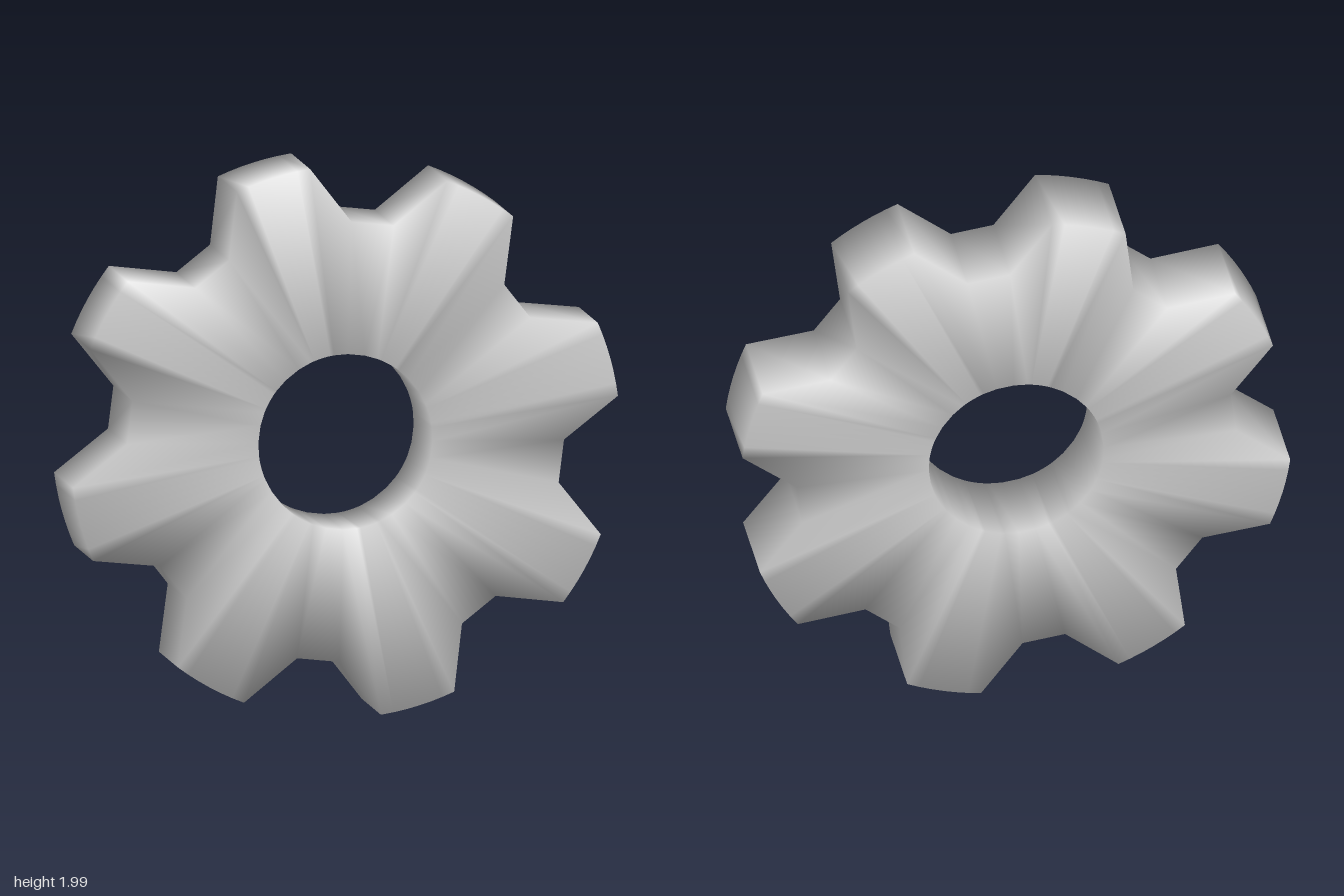
import * as THREE from 'three';

const TEETH = 8;
const HOLE_R = 0.318, ROOT_R = 0.797, TIP_R = 1.002, HALF_DEPTH = 0.161;
const PITCH = 360 / TEETH;

// Outline of the gear as [angle in degrees, radius], counter-clockwise
function gearOutline() {
  const points = [];
  for (let t = 0; t < TEETH; t++) {
    const base = t * PITCH;
    const tipSteps = 6;
    for (let i = 0; i <= tipSteps; i++) points.push([base + 7.4 + (15.9 * i) / tipSteps, TIP_R]);
    points.push([base + 32.2, ROOT_R], [base + 43.4, ROOT_R]); // flat valley between teeth
  }
  return points;
}

// Ring-shaped solid: one rectangular cross-section per outline point,
// with shared corners so the normals blend softly over the edges
function gearGeometry() {
  const outline = gearOutline();
  const positions = [], indices = [];
  outline.forEach(([deg, r], j) => {
    const a = THREE.MathUtils.degToRad(deg);
    const c = Math.cos(a), s = Math.sin(a);
    const section = [[r, HALF_DEPTH], [r, -HALF_DEPTH], [HOLE_R, -HALF_DEPTH], [HOLE_R, HALF_DEPTH]];
    section.forEach(([rad, z], k) => {
      positions.push(rad * c, rad * s, z);
      const j2 = (j + 1) % outline.length, k2 = (k + 1) % 4;
      const p = j * 4 + k, q = j * 4 + k2, u = j2 * 4 + k2, v = j2 * 4 + k;
      indices.push(p, q, u, p, u, v);
    });
  });
  const geometry = new THREE.BufferGeometry();
  geometry.setAttribute('position', new THREE.Float32BufferAttribute(positions, 3));
  geometry.setIndex(indices);
  geometry.computeVertexNormals();
  return geometry;
}

export function createModel() {
  const group = new THREE.Group();
  group.name = 'gearWheel';
  const gear = new THREE.Mesh(gearGeometry(), new THREE.MeshStandardMaterial({ color: 0xcccccc }));
  gear.name = 'gear';
  // Upright on its teeth, turned slightly about the vertical
  gear.position.y = 0.994;
  gear.rotation.y = 0.0455;
  group.add(gear);
  return group;
}
